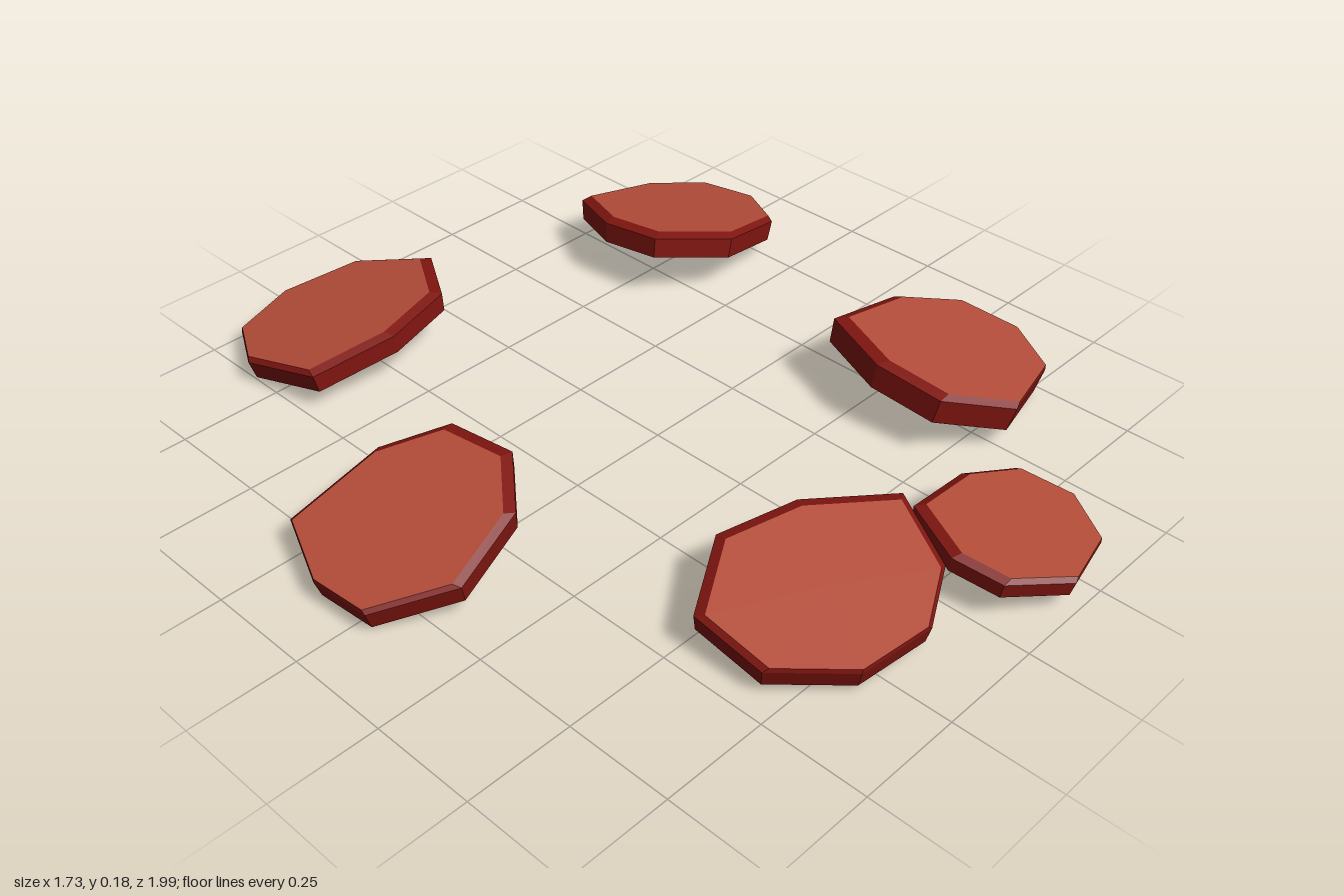
import * as THREE from 'three';

const faceMat = new THREE.MeshStandardMaterial({ color: 0xb54d3a, flatShading: true });
const rimMat = new THREE.MeshStandardMaterial({ color: 0x7f1510, flatShading: true });

function meshFrom(positions, material, name) {
  const geo = new THREE.BufferGeometry();
  geo.setAttribute('position', new THREE.Float32BufferAttribute(positions.flatMap(p => p.toArray()), 3));
  geo.computeVertexNormals();
  const mesh = new THREE.Mesh(geo, material);
  mesh.name = name;
  return mesh;
}

// One tilted eight-sided slice. The outline runs clockwise seen from above;
// topY is the rim height at its centre, slopeX and slopeZ tilt it.
function slice(name, outline, topY, slopeX, slopeZ, thickness) {
  const n = outline.length;
  const cx = outline.reduce((s, p) => s + p[0], 0) / n;
  const cz = outline.reduce((s, p) => s + p[1], 0) / n;
  const normal = new THREE.Vector3(-slopeX, 1, -slopeZ).normalize();

  // Cross-section ring: scaled outline, lifted along the tilted axis
  const ring = (scale, lift, shift = 0) => outline.map(([x, z]) => {
    const dx = (x - cx) * scale - slopeX * shift;
    const dz = (z - cz) * scale - slopeZ * shift;
    return new THREE.Vector3(cx + dx, topY - thickness / 2 + slopeX * dx + slopeZ * dz, cz + dz)
      .addScaledVector(normal, lift);
  });
  const bottom = ring(0.975, -thickness / 2);
  const rim = ring(1, thickness / 2 - 0.005);
  const top = ring(0.935, thickness / 2 + 0.005, 0.06);
  const middle = pts => pts.reduce((s, p) => s.add(p), new THREE.Vector3()).divideScalar(n);
  const topMid = middle(top), bottomMid = middle(bottom);

  const faces = [], sides = [];
  for (let i = 0; i < n; i++) {
    const j = (i + 1) % n;
    faces.push(topMid, top[j], top[i], bottomMid, bottom[i], bottom[j]);
    for (const [lo, hi] of [[bottom, rim], [rim, top]]) {
      sides.push(lo[j], lo[i], hi[i], lo[j], hi[i], hi[j]);
    }
  }
  const group = new THREE.Group();
  group.name = name;
  group.add(meshFrom(faces, faceMat, 'cutFaces'), meshFrom(sides, rimMat, 'darkRim'));
  return group;
}

export function createModel() {
  const model = new THREE.Group();
  model.name = 'slices';
  model.add(
    slice('backSlice', [[-0.27, -1], [-0.08, -0.94], [0.01, -0.78], [-0.09, -0.62],
      [-0.27, -0.58], [-0.475, -0.62], [-0.515, -0.82], [-0.44, -0.955]], 0.1, 0.12, 0.16, 0.05),
    slice('backLeftSlice', [[0.46, -0.72], [0.695, -0.72], [0.84, -0.64], [0.86, -0.48],
      [0.76, -0.33], [0.56, -0.29], [0.395, -0.395], [0.38, -0.55]], 0.118, -0.23, 0.1, 0.055),
    slice('rightSlice', [[-0.79, -0.285], [-0.55, -0.29], [-0.41, -0.21], [-0.39, -0.04],
      [-0.5, 0.09], [-0.695, 0.145], [-0.855, 0.04], [-0.865, -0.11]], 0.107, 0.215, 0, 0.05),
    slice('frontLeftSlice', [[0.42, 0.145], [0.65, 0.14], [0.795, 0.22], [0.825, 0.375],
      [0.73, 0.525], [0.51, 0.595], [0.365, 0.49], [0.35, 0.325]], 0.128, -0.22, -0.12, 0.065),
    slice('frontRightSlice', [[-0.27, 0.42], [-0.08, 0.47], [0.095, 0.605], [0.01, 0.78],
      [-0.13, 0.855], [-0.31, 0.83], [-0.447, 0.7], [-0.447, 0.525]], 0.1, 0.08, -0.17, 0.05),
    slice('smallFrontSlice', [[0.07, 0.65], [0.245, 0.643], [0.363, 0.7], [0.39, 0.825],
      [0.31, 0.95], [0.155, 0.99], [0.025, 0.907], [0.003, 0.795]], 0.1, -0.12, -0.12, 0.04),
  );
  // Rest the lowest slice on the ground
  model.position.y = -new THREE.Box3().setFromObject(model, true).min.y;
  return model;
}
